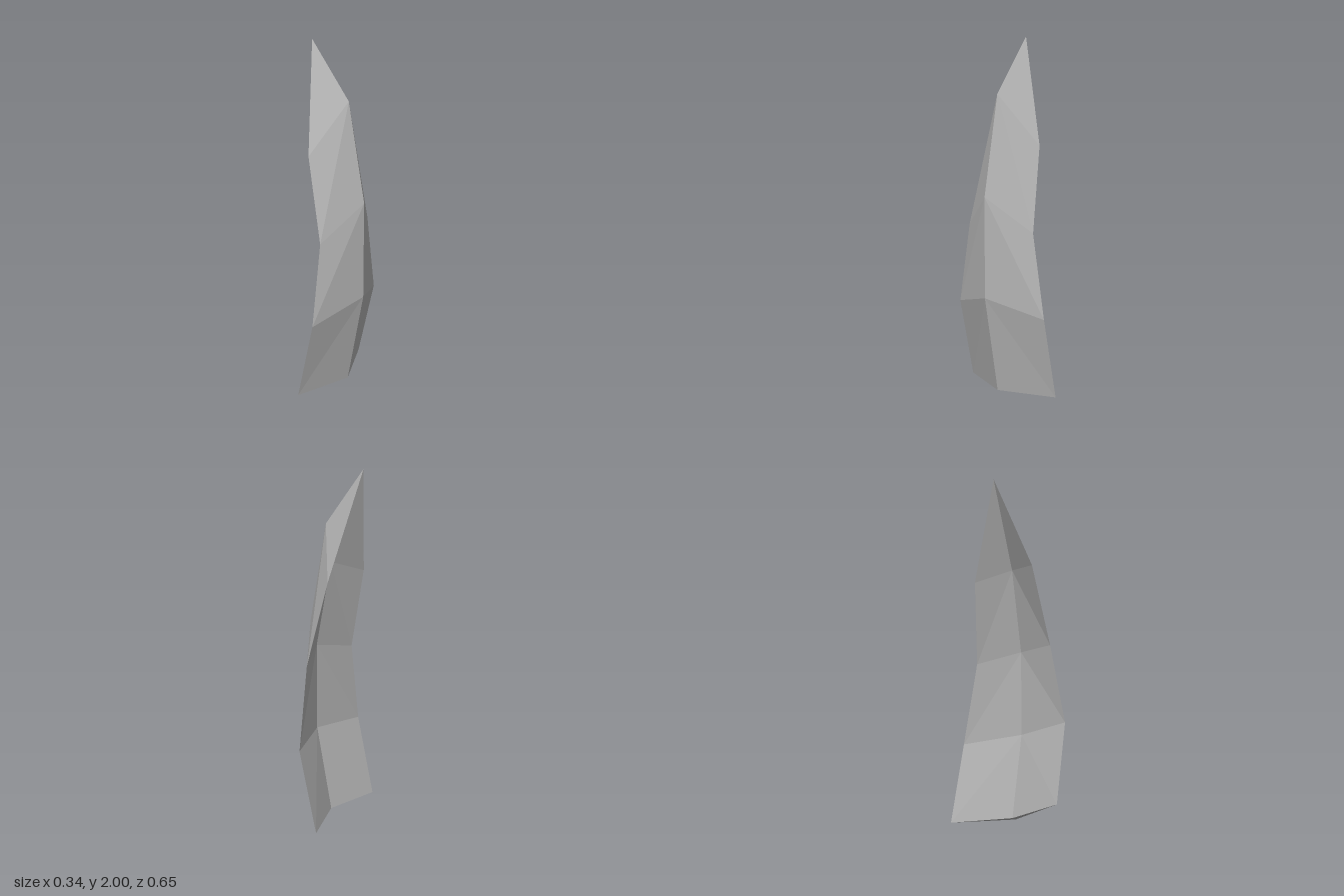
import * as THREE from 'three';

// Cross-sections from base up: outer ridge, side edges, inner valley
const sections = [
  { ridge: [0.065, 0], edge: [-0.065, 0, 0.325], valley: [0.033, 0] },
  { ridge: [0.168, 0.56], edge: [0.04, 0.47, 0.325], valley: [0.128, 0.49] },
  { ridge: [0.168, 1.13], edge: [0.04, 0.94, 0.243], valley: [0.128, 0.99] },
  { ridge: [0.065, 1.69], edge: [-0.065, 1.41, 0.195], valley: [0.033, 1.48] },
];
const tip = [-0.17, 2, 0];

function bladeGeometry() {
  const rings = sections.map(({ ridge, edge, valley }) => [
    [...ridge, 0],
    [...edge],
    [...valley, 0],
    [edge[0], edge[1], -edge[2]],
  ]);
  const positions = [];
  const tri = (a, b, c) => positions.push(...a, ...b, ...c);

  // Four long walls, with diagonals mirrored across z = 0
  for (let i = 0; i < rings.length - 1; i++) {
    for (let k = 0; k < 4; k++) {
      const n = (k + 1) % 4;
      const a = rings[i][k], b = rings[i][n];
      const c = rings[i + 1][k], d = rings[i + 1][n];
      if (k % 2 === 0) {
        tri(a, c, b);
        tri(b, c, d);
      } else {
        tri(a, d, b);
        tri(a, c, d);
      }
    }
  }

  // Pointed tip
  const top = rings[rings.length - 1];
  for (let k = 0; k < 4; k++) tri(top[k], tip, top[(k + 1) % 4]);

  // Thin chevron base
  const [ridge, left, valley, right] = rings[0];
  tri(ridge, left, valley);
  tri(ridge, valley, right);

  const geometry = new THREE.BufferGeometry();
  geometry.setAttribute('position', new THREE.Float32BufferAttribute(positions, 3));
  geometry.computeVertexNormals();
  return geometry;
}

export function createModel() {
  const grey = new THREE.MeshStandardMaterial({ color: 0xb4b4b4 });
  grey.name = 'grey';

  const blade = new THREE.Mesh(bladeGeometry(), grey);
  blade.name = 'curvedBlade';

  const model = new THREE.Group();
  model.name = 'bladeLeaf';
  model.add(blade);
  return model;
}
